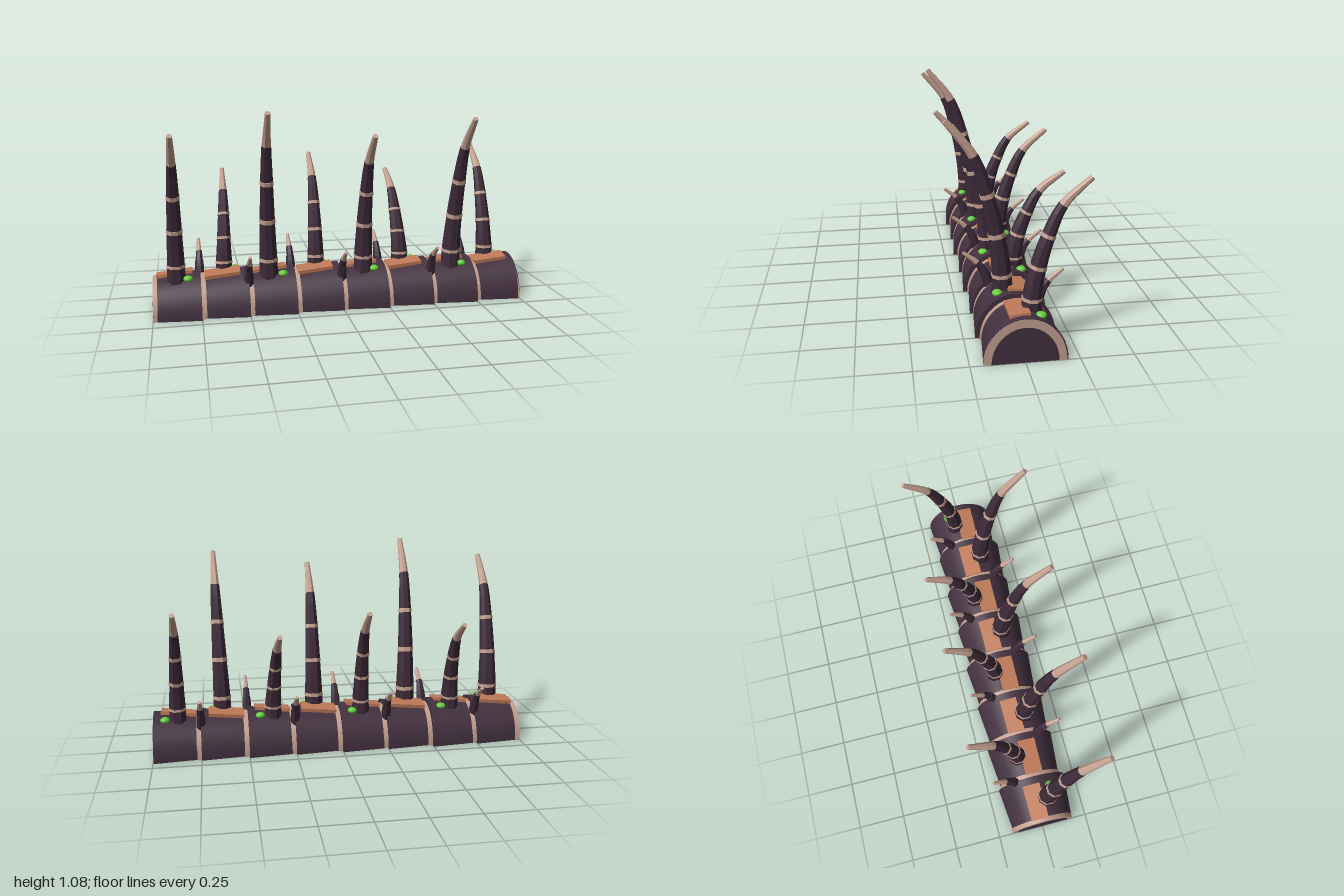
import * as THREE from 'three';
import { toCreasedNormals } from 'three/addons/utils/BufferGeometryUtils.js';

const mat = (color, flatShading = false) => new THREE.MeshStandardMaterial({ color, flatShading });
const shell = mat(0x43313f), skin = mat(0x3d2b39, true);
const bone = mat(0xc4a090), boneFlat = mat(0xc4a090, true);
const flesh = mat(0xc07a58), glow = mat(0x66d040);

function add(parent, name, geometry, material) {
  const mesh = new THREE.Mesh(geometry, material);
  mesh.name = name;
  parent.add(mesh);
  return mesh;
}

// Solid half-ellipse arch along x, from radius r0 at x0 to r1 at x1
function arch(x0, x1, r0, r1) {
  const shape = new THREE.Shape();
  shape.absellipse(0, 0, 1, 1.12, 0, Math.PI, false, 0);
  shape.closePath();
  const g = new THREE.ExtrudeGeometry(shape, { depth: 1, bevelEnabled: false, curveSegments: 18 });
  g.rotateY(Math.PI / 2);
  const p = g.attributes.position;
  for (let i = 0; i < p.count; i++) {
    const t = p.getX(i), r = r0 + (r1 - r0) * t;
    p.setXYZ(i, x0 + (x1 - x0) * t, p.getY(i) * r, p.getZ(i) * r);
  }
  g.computeVertexNormals();
  return toCreasedNormals(g, 0.6);
}

// Tapered, capped sweep over part of a curve
function sweep(curve, t0, t1, r0, r1, steps = 3, sides = 8) {
  const pos = [], index = [], X = new THREE.Vector3(1, 0, 0);
  for (let i = -1; i <= steps + 1; i++) {
    const f = THREE.MathUtils.clamp(i / steps, 0, 1), t = t0 + (t1 - t0) * f;
    const r = i < 0 || i > steps ? 0 : r0 + (r1 - r0) * f;
    const c = curve.getPoint(t), N = curve.getTangent(t).cross(X).normalize();
    for (let j = 0; j < sides; j++) {
      const a = ((j + 0.5) / sides) * Math.PI * 2;
      const v = c.clone().addScaledVector(X, r * Math.cos(a)).addScaledVector(N, r * Math.sin(a));
      pos.push(v.x, v.y, v.z);
    }
  }
  for (let i = 0; i < steps + 2; i++) {
    for (let j = 0; j < sides; j++) {
      const a = i * sides + j, b = i * sides + ((j + 1) % sides);
      index.push(a, b, b + sides, a, b + sides, a + sides);
    }
  }
  const g = new THREE.BufferGeometry();
  g.setAttribute('position', new THREE.Float32BufferAttribute(pos, 3));
  g.setIndex(index);
  g.computeVertexNormals();
  return g;
}

// Jointed tentacle with collars and a bare bone tip
function tentacle(x0, x1, top, side, k) {
  const group = new THREE.Group();
  group.name = 'tentacle';
  const rise = [0, 0.08, 0.33, 0.57, 0.8, 1], lean = [0, 0, 0.1, 0.27, 0.51, 1];
  const radii = [0.054, 0.05, 0.042, 0.035, 0.026, 0.014].map((r) => r * k);
  const curve = new THREE.CatmullRomCurve3(rise.map((h, i) => new THREE.Vector3(
    x0 + (x1 - x0) * h,
    i ? 0.2 + (top - 0.21) * h : 0.14,
    side * (0.05 + 0.263 * lean[i]))));
  for (let i = 0; i < 4; i++) {
    const t = i / 5;
    add(group, 'tentacleJoint', sweep(curve, t, t + 0.2, radii[i], radii[i + 1] * 0.98), skin);
    if (i) add(group, 'tentacleCollar', sweep(curve, t - 0.011, t + 0.011, radii[i] + 0.003, radii[i] + 0.002, 1), boneFlat);
  }
  add(group, 'tentacleTip', sweep(curve, 0.79, 1, radii[4] * 0.96, radii[5], 5), boneFlat);
  return group;
}

// Small side feeler
function feeler(x, side) {
  const group = new THREE.Group();
  group.name = 'feeler';
  const path = [[0.14, 0.09], [0.225, 0.118], [0.275, 0.152], [0.33, 0.22]];
  const curve = new THREE.CatmullRomCurve3(path.map(([y, z]) => new THREE.Vector3(x, y, side * z)));
  add(group, 'feelerBase', sweep(curve, 0, 0.36, 0.028, 0.023, 3, 7), skin);
  add(group, 'feelerJoint', sweep(curve, 0.34, 0.67, 0.021, 0.017, 3, 7), skin);
  add(group, 'feelerTip', sweep(curve, 0.65, 1, 0.015, 0.009, 3, 7), boneFlat);
  return group;
}

export function createModel() {
  const model = new THREE.Group();
  model.name = 'tentacledBarrier';

  // Each row: base x, tip x, top height
  const limbs = [
    [-0.875, -0.875, 0.985], [-0.622, -0.605, 0.715], [-0.388, -0.407, 1.085], [-0.117, -0.112, 0.79],
    [0.13, 0.128, 0.96], [0.365, 0.342, 0.685], [0.632, 0.652, 1.035], [0.87, 0.86, 0.815],
  ];

  limbs.forEach(([x0, x1, top], i) => {
    const c = -0.875 + i * 0.25, side = i % 2 ? -1 : 1;

    // Flared body plate and the bone rib in front of it
    add(model, 'bodyPlate', arch(c - 0.102, c + (i === 7 ? 0.122 : 0.125), 0.171, 0.192), shell)
      .position.z = side * 0.003;
    add(model, 'bodyRib', arch(c - 0.125 + (i ? 0 : 0.002), c - 0.1, 0.173, 0.174), bone);

    // Raw patch lying on the ridge, following the plate's slope
    const patch = add(model, 'fleshPatch', new THREE.BoxGeometry(0.19, 0.02, 0.095), flesh);
    patch.position.set(c - 0.01, 0.2, -side * 0.018);
    patch.rotation.set(-side * 0.1, 0, 0.1);

    // Glowing pustule beside the tentacle root
    const pustule = add(model, 'pustule', new THREE.SphereGeometry(0.025, 14, 10), glow);
    pustule.scale.y = 0.65;
    pustule.position.set(c + 0.06, 0.195, side * 0.08);

    model.add(tentacle(x0, x1, top, side, side > 0 ? 1 : 0.92));
    if (i < 7) model.add(feeler(c + 0.125, -side));
  });

  // End faces: bone rim and dark core
  add(model, 'endRim', arch(0.99, 0.998, 0.189, 0.189), bone);
  add(model, 'endCore', arch(0.99, 1, 0.153, 0.153), shell);
  add(model, 'endCore', arch(-1, -0.99, 0.145, 0.145), shell);
  return model;
}
